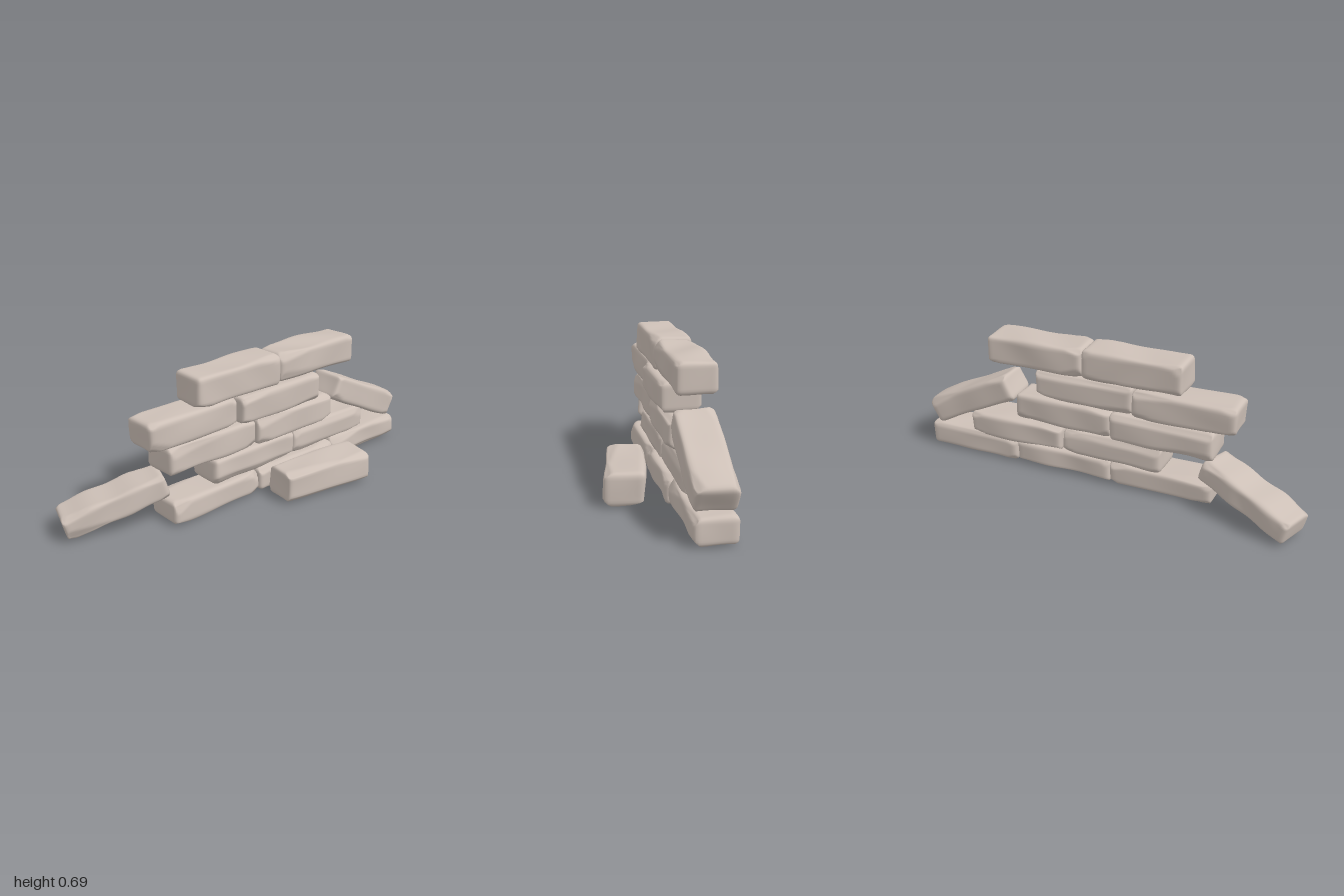
import * as THREE from 'three';
import { mergeVertices } from 'three/addons/utils/BufferGeometryUtils.js';

// Small seeded random generator
function seeded(seed) {
  let s = seed * 7919 + 13;
  return () => {
    s = (s * 16807) % 2147483647;
    return s / 2147483647;
  };
}

// Worn stone block: rounded box, chipped by planes, with gentle dents
function stoneGeometry(w, h, d, seed) {
  const rnd = seeded(seed);
  for (let i = 0; i < 5; i++) rnd();
  const half = new THREE.Vector3(w / 2, h / 2, d / 2);
  const r = 0.024;
  const inner = half.clone().subScalar(r);
  const low = inner.clone().negate();

  let geo = new THREE.BoxGeometry(w, h, d, 40, 14, 16);
  geo.deleteAttribute('uv');
  geo.deleteAttribute('normal');
  geo = mergeVertices(geo, 1e-5);

  // Planes that shave edges and corners
  const chips = [];
  for (let i = 0; i < 14; i++) {
    const sign = () => (rnd() < 0.5 ? -1 : 1);
    const n = new THREE.Vector3(sign() * rnd() * 0.45, sign() * (0.4 + rnd()), sign() * (0.4 + rnd())).normalize();
    const reach = Math.abs(n.x) * inner.x + Math.abs(n.y) * inner.y + Math.abs(n.z) * inner.z + r;
    chips.push({ n, limit: reach - 0.004 - rnd() * 0.011 });
  }
  // Slow waves that dent the faces
  const waves = [];
  for (let i = 0; i < 5; i++) {
    const k = new THREE.Vector3(rnd() - 0.5, rnd() - 0.5, rnd() - 0.5).normalize().multiplyScalar(14 + rnd() * 22);
    waves.push({ k, phase: rnd() * 6.28 });
  }

  const pos = geo.attributes.position;
  const p = new THREE.Vector3(), core = new THREE.Vector3(), n = new THREE.Vector3();
  for (let i = 0; i < pos.count; i++) {
    p.fromBufferAttribute(pos, i);
    core.copy(p).clamp(low, inner);
    n.subVectors(p, core).normalize();
    p.copy(core).addScaledVector(n, r);
    for (const c of chips) {
      const over = p.dot(c.n) - c.limit;
      if (over > 0) p.addScaledVector(c.n, -over);
    }
    let wave = 0;
    for (const q of waves) wave += Math.sin(p.dot(q.k) + q.phase);
    p.addScaledVector(n, -0.002 + 0.0017 * wave);
    pos.setXYZ(i, p.x, p.y, p.z);
  }
  geo.computeVertexNormals();
  return geo;
}

export function createModel() {
  const group = new THREE.Group();
  group.name = 'ruinedStoneWall';
  const stone = new THREE.MeshStandardMaterial({ color: 0xcdc0b7 });
  stone.name = 'pale stone';
  let seed = 1;

  function addStone(name, size, position, rotation = [0, 0, 0]) {
    const mesh = new THREE.Mesh(stoneGeometry(...size, seed++), stone);
    mesh.name = name;
    mesh.position.set(...position);
    mesh.rotation.set(...rotation, 'YXZ');
    group.add(mesh);
  }

  // Courses of the wall: [x0, x1, y0, y1, zBack, zFront, tilt]
  const courses = [
    [[-0.535, -0.018, 0, 0.118, -0.15, 0.045, 0],
      [-0.018, 0.493, 0, 0.122, -0.15, 0.05, 0],
      [0.493, 0.992, 0, 0.126, -0.152, 0.04, 0]],
    [[-0.28, 0.232, 0.118, 0.248, -0.155, 0.032, 0],
      [0.232, 0.742, 0.118, 0.246, -0.172, 0.025, -0.01]],
    [[-0.535, -0.02, 0.244, 0.386, -0.166, 0.025, 0],
      [-0.02, 0.49, 0.244, 0.386, -0.15, 0.04, 0]],
    [[-0.638, -0.13, 0.385, 0.528, -0.162, 0.022, 0],
      [-0.13, 0.382, 0.385, 0.528, -0.145, 0.056, 0]],
    [[-0.376, 0.125, 0.528, 0.682, -0.152, 0.036, -0.008],
      [0.125, 0.632, 0.526, 0.672, -0.152, 0.038, -0.018]]
  ];
  courses.forEach((course, row) => course.forEach(([x0, x1, y0, y1, z0, z1, tilt], i) => {
    addStone(`course${row + 1}Stone${i + 1}`, [x1 - x0, y1 - y0, z1 - z0],
      [(x0 + x1) / 2, (y0 + y1) / 2, (z0 + z1) / 2], [0, 0, tilt]);
  }));

  // Loose stones: one in front, one leaning at each end
  addStone('fallenFrontStone', [0.492, 0.157, 0.185], [0.245, 0.078, 0.192], [0, -0.165, 0]);
  addStone('leaningLeftEndStone', [0.502, 0.136, 0.192], [0.748, 0.293, -0.057], [0, 0, -0.455]);
  addStone('leaningRightEndStone', [0.502, 0.124, 0.184], [-0.738, 0.13, -0.163], [0, -0.35, 0.27]);

  return group;
}
